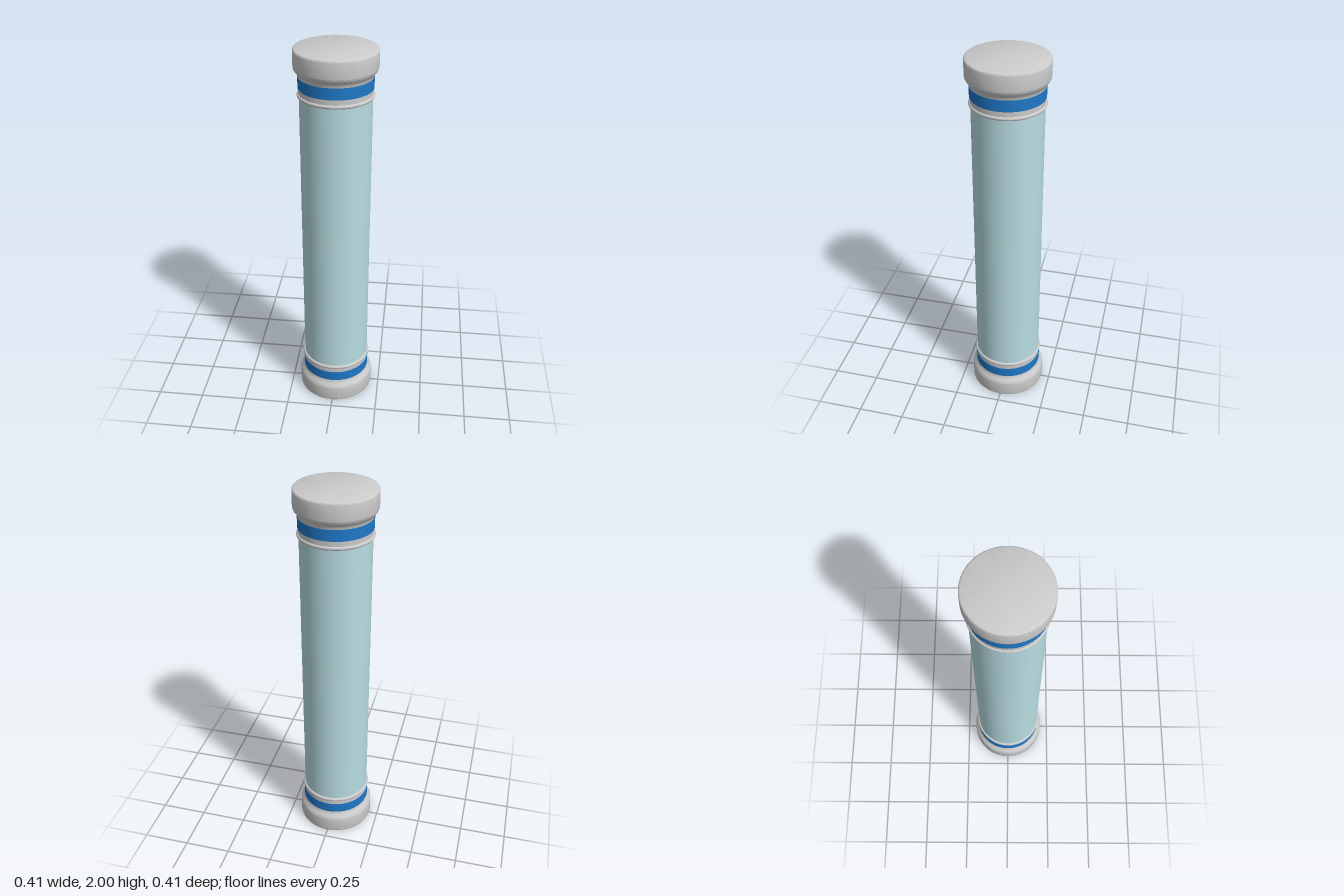
import * as THREE from 'three';
import { toCreasedNormals } from 'three/addons/utils/BufferGeometryUtils.js';

const SEGMENTS = 96;
const material = (color) => new THREE.MeshStandardMaterial({ color });

// Turned part from [radius, y] pairs listed from bottom to top
function turned(name, profile, mat) {
  const points = profile.map(([r, y]) => new THREE.Vector2(r, y));
  const geometry = toCreasedNormals(new THREE.LatheGeometry(points, SEGMENTS), 0.6);
  const mesh = new THREE.Mesh(geometry, mat);
  mesh.name = name;
  return mesh;
}

// One end fitting, standing on y = 0 and facing up towards the tube
function createEnd(name, grey, blue) {
  const end = new THREE.Group();
  end.name = name;

  // Rounded cap that narrows in a soft curve to the neck
  end.add(turned('cap', [
    [0, 0], [0.195, 0], [0.2, 0.002], [0.203, 0.005], [0.204, 0.01],
    [0.204, 0.085], [0.203, 0.092], [0.2, 0.099], [0.194, 0.107],
    [0.188, 0.115], [0.184, 0.123], [0.182, 0.135],
  ], grey));

  // Coloured band
  end.add(turned('band', [[0.176, 0.133], [0.183, 0.133], [0.183, 0.19], [0.176, 0.19]], blue));

  // Plain neck above the band
  end.add(turned('neck', [[0.181, 0.19], [0.181, 0.225], [0.176, 0.225]], grey));

  // Raised bead where the tube enters the fitting
  const bead = new THREE.Mesh(new THREE.TorusGeometry(0.178, 0.01, 16, SEGMENTS), grey);
  bead.name = 'bead';
  bead.rotation.x = Math.PI / 2;
  bead.position.y = 0.225;
  end.add(bead);
  return end;
}

export function createModel() {
  const model = new THREE.Group();
  model.name = 'capsuleTube';
  const grey = material(0xcccccc);
  const blue = material(0x1f78c8);

  // Long pale tube
  const tube = new THREE.Mesh(
    new THREE.CylinderGeometry(0.178, 0.178, 1.6, SEGMENTS), material(0xb8dde2));
  tube.name = 'tube';
  tube.position.y = 1;
  model.add(tube);

  // Matching fittings at both ends
  const bottom = createEnd('bottomEnd', grey, blue);
  const top = createEnd('topEnd', grey, blue);
  top.rotation.x = Math.PI;
  top.position.y = 2;
  model.add(bottom, top);
  return model;
}
